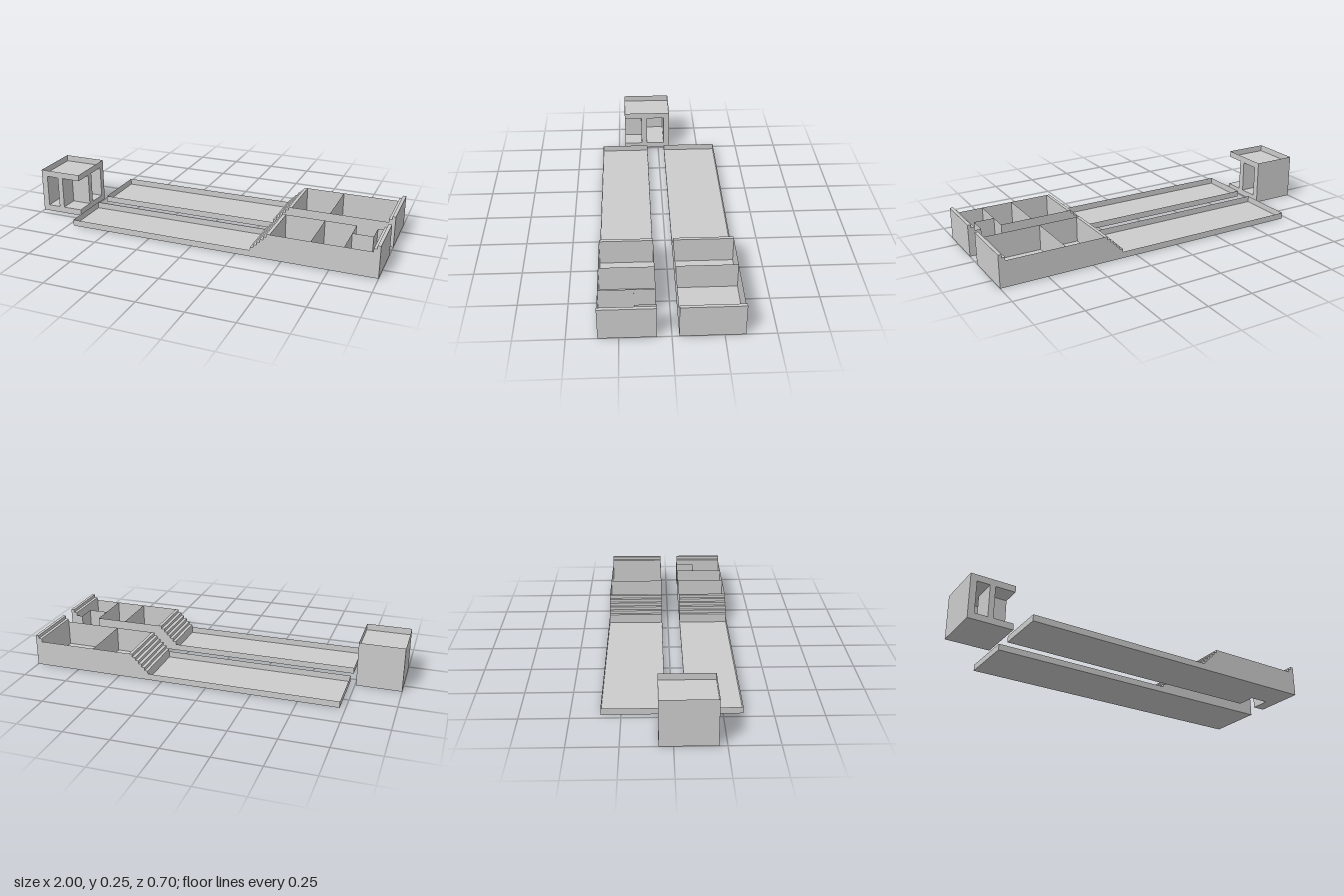
import * as THREE from 'three';

const material = new THREE.MeshStandardMaterial({ color: 0xcccccc, flatShading: true, side: THREE.DoubleSide });
const U = 0.0175; // height and depth of one step
const X0 = -0.72, X1 = 1, STAIR = 0.33, LOW = 0.035, HIGH = 0.14;

function add(parent, name, geometry, x = 0, y = 0, z = 0) {
  const mesh = new THREE.Mesh(geometry, material);
  mesh.name = name;
  mesh.position.set(x, y, z);
  parent.add(mesh);
  return mesh;
}

const shapeOf = (pts) => new THREE.Shape(pts.map(([x, y]) => new THREE.Vector2(x, y)));

// Box given by its limits on each axis
function block(parent, name, xa, xb, ya, yb, za, zb) {
  add(parent, name, new THREE.BoxGeometry(xb - xa, yb - ya, zb - za), (xa + xb) / 2, (ya + yb) / 2, (za + zb) / 2);
}

// Thin upright sheets: across (fixed x) and along (fixed z)
function crossSheet(parent, name, x, ya, yb, za, zb) {
  const g = new THREE.PlaneGeometry(zb - za, yb - ya).rotateY(Math.PI / 2);
  add(parent, name, g, x, (ya + yb) / 2, (za + zb) / 2);
}
function alongSheet(parent, name, z, ya, yb, xa, xb) {
  add(parent, name, new THREE.PlaneGeometry(xb - xa, yb - ya), (xa + xb) / 2, (ya + yb) / 2, z);
}

// Horizontal sheet from an outline in x and z
function floorSheet(parent, name, y, pts) {
  const g = new THREE.ShapeGeometry(shapeOf(pts.map(([x, z]) => [x, -z]))).rotateX(-Math.PI / 2);
  add(parent, name, g, 0, y, 0);
}

// Stepped outline points of the flight of stairs
function stairPoints() {
  const pts = [];
  for (let i = 0; i < 6; i++) {
    const x = STAIR + i * U;
    pts.push([x, LOW + i * U], [x, LOW + (i + 1) * U]);
  }
  return pts;
}
const endPoints = [[X1 - 2 * U, HIGH], [X1 - 2 * U, HIGH + U], [X1 - U, HIGH + U], [X1 - U, HIGH + 2 * U], [X1, HIGH + 2 * U]];

// Open tray with a low basin, a flight of stairs and a compartmented high end
function tray(name, za, zb, partitions, notch) {
  const group = new THREE.Group();
  group.name = name;

  const outline = [[X0, za], [X0, zb], [X1, zb], [X1, za]];
  if (notch) outline.push([notch.xb, za], [notch.xb, notch.z], [notch.xa, notch.z], [notch.xa, za]);
  floorSheet(group, 'trayFloor', 0, outline);

  // Side walls follow the stepped outline
  const start = [[X0, 0], [X0, LOW], ...stairPoints()];
  const whole = [...start, ...endPoints, [X1, 0]];
  add(group, 'outerSideWall', new THREE.ShapeGeometry(shapeOf(whole)), 0, 0, zb);
  if (notch) {
    const { xa, xb, z } = notch;
    add(group, 'innerSideWall', new THREE.ShapeGeometry(shapeOf([...start, [xa, HIGH], [xa, 0]])), 0, 0, za);
    add(group, 'innerSideWallEnd', new THREE.ShapeGeometry(shapeOf([[xb, 0], [xb, HIGH], ...endPoints, [X1, 0]])), 0, 0, za);
    alongSheet(group, 'notchBack', z, 0, HIGH, xa, xb);
    crossSheet(group, 'notchSide', xb, 0, HIGH, za, z);
  } else {
    add(group, 'innerSideWall', new THREE.ShapeGeometry(shapeOf(whole)), 0, 0, za);
  }

  // End walls and partitions
  crossSheet(group, 'lowEndWall', X0, 0, LOW, za, zb);
  crossSheet(group, 'highEndWall', X1, 0, HIGH + 2 * U, za, zb);
  partitions.forEach((x) => crossSheet(group, 'partition', x, 0, HIGH, za, zb));

  // Stairs and the two end steps
  const extrude = { depth: zb - za, bevelEnabled: false };
  const xTop = STAIR + 6 * U;
  const stairs = shapeOf([[STAIR, 0], ...stairPoints(), [xTop, HIGH], [xTop, 0]]);
  add(group, 'stairs', new THREE.ExtrudeGeometry(stairs, extrude), 0, 0, za);
  const endSteps = shapeOf([[X1 - 2 * U, 0], ...endPoints, [X1, 0]]);
  add(group, 'endSteps', new THREE.ExtrudeGeometry(endSteps, extrude), 0, 0, za);
  return group;
}

// Small house with an angled passage, a corner porch and a rimmed roof
function house() {
  const group = new THREE.Group();
  group.name = 'house';
  const xa = -1, xb = -0.756, za = -0.07, zb = 0.21, ceiling = 0.212, top = 0.2475;
  block(group, 'base', xa, xb, 0, LOW, za, zb);
  block(group, 'backWall', xa, xb, LOW, ceiling, za, -0.035);
  block(group, 'rightWall', xa, -0.965, LOW, ceiling, -0.035, zb);
  block(group, 'porchSideWall', -0.895, -0.865, LOW, ceiling, 0.07, zb);
  block(group, 'porchBackWall', -0.865, xb, LOW, ceiling, 0.07, 0.105);
  floorSheet(group, 'roof', ceiling, [[xa, za], [xa, zb], [xb, zb], [xb, za]]);
  for (const x of [xa, xb]) crossSheet(group, 'roofRim', x, ceiling, top, za, zb);
  for (const z of [za, zb]) alongSheet(group, 'roofRim', z, ceiling, top, xa, xb);
  return group;
}

export function createModel() {
  const model = new THREE.Group();
  model.name = 'steppedTraysAndHouse';
  model.add(
    tray('frontTray', 0.07, 0.35, [0.65, 0.82], { xa: 0.82, xb: 0.93, z: 0.175 }),
    tray('backTray', -0.35, -0.035, [0.65], null),
    house(),
  );
  return model;
}
